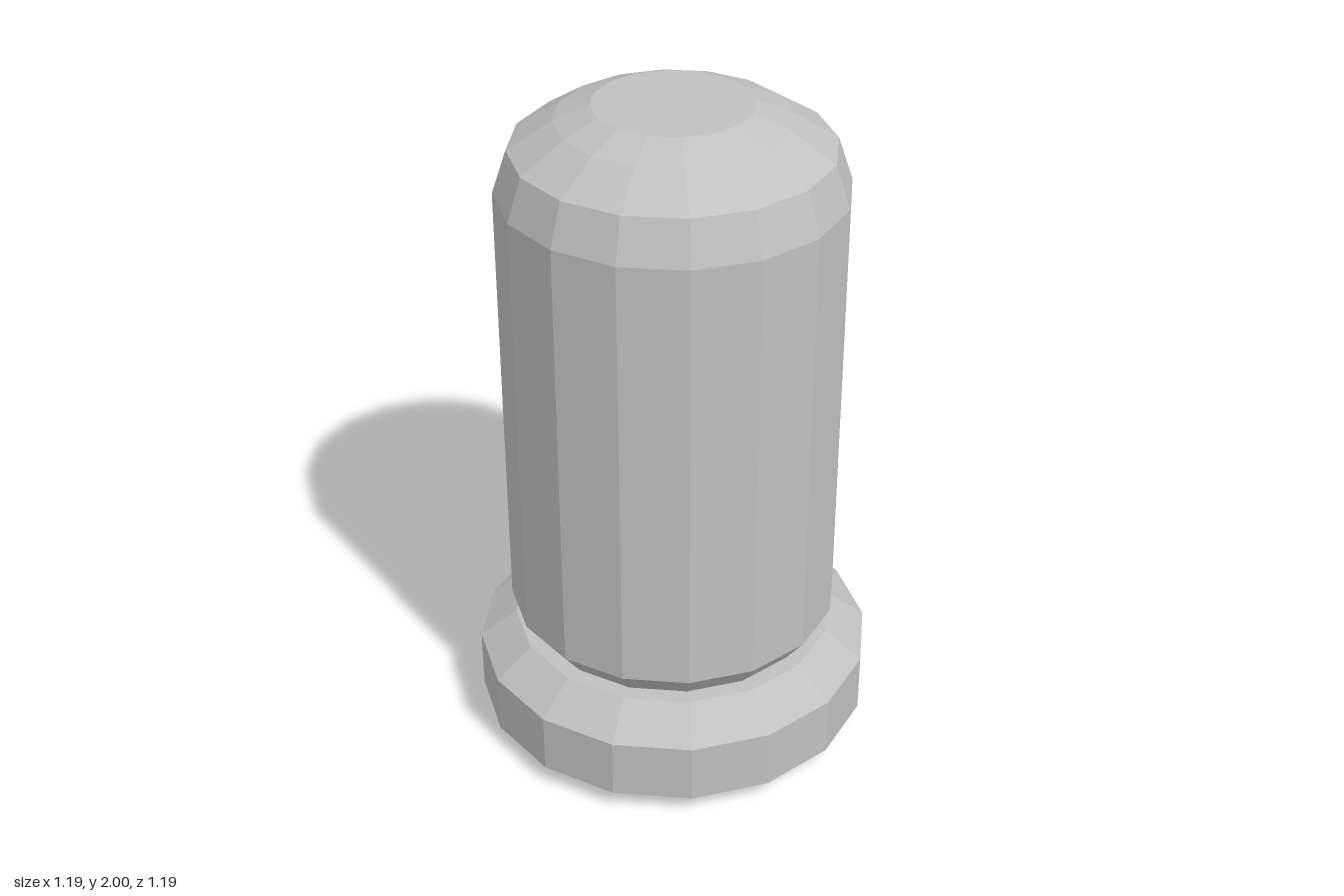
import * as THREE from 'three';

const SIDES = 16;

// Faceted solid of revolution from [radius, height] pairs, bottom to top
function turned(name, profile, material) {
  const points = profile.map(([r, y]) => new THREE.Vector2(r, y));
  const mesh = new THREE.Mesh(new THREE.LatheGeometry(points, SIDES), material);
  mesh.name = name;
  return mesh;
}

export function createModel() {
  const group = new THREE.Group();
  group.name = 'peg';

  const grey = new THREE.MeshStandardMaterial({ color: 0xc0c0c0 });
  grey.name = 'grey';
  grey.flatShading = true;

  // Wide foot, bevelled above and below
  group.add(turned('baseCollar', [
    [0, 0], [0.515, 0], [0.597, 0.065], [0.597, 0.25], [0.485, 0.335], [0, 0.335],
  ], grey));

  // Upright body with a tapered lower end and a domed top
  group.add(turned('body', [
    [0.435, 0.335], [0.495, 0.415], [0.495, 1.755],
    [0.453, 1.88], [0.327, 1.96], [0.225, 2], [0, 2],
  ], grey));

  return group;
}
